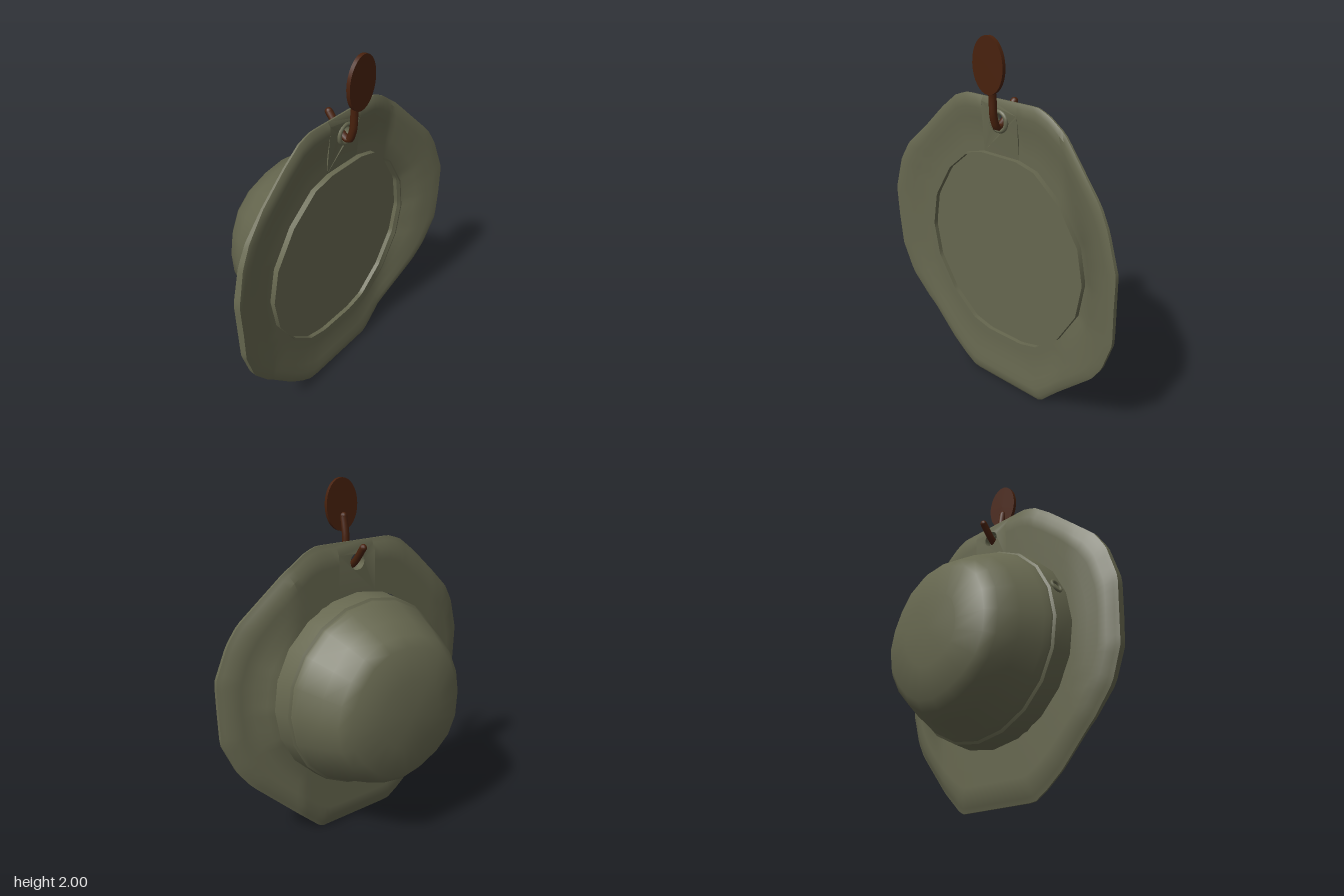
import * as THREE from 'three';
import { toCreasedNormals } from 'three/addons/utils/BufferGeometryUtils.js';

const CY = 0.85; // height of the hat's axis
const { clamp, smoothstep } = THREE.MathUtils;

// Depth of the brim's front or back face; u runs from opening (0) to edge (1)
function brimX(front, u, y, z) {
  const start = smoothstep(u, 0, 0.35);
  const up = Math.max(0, -z - 0.4) * start, down = Math.max(0, z - 0.58) * start;
  return front
    ? 0.194 + up * 0.26 + down * 0.18 + 0.018 * smoothstep(u, 0.3, 0.85) - 0.02 * smoothstep(u, 0.9, 1) * Math.abs(y - CY)
    : 0.157 + up * 0.26 + down * 0.1 + 0.03 * smoothstep(u, 0.78, 1);
}

export function createModel() {
  const olive = new THREE.MeshStandardMaterial({ color: 0x66674f });
  olive.name = 'olive felt';
  const brown = new THREE.MeshStandardMaterial({ color: 0x48210d });
  brown.name = 'brown metal';

  const hat = new THREE.Group();
  hat.name = 'hangingHat';
  const add = (name, geometry, material, parent = hat) => {
    const mesh = new THREE.Mesh(geometry, material);
    mesh.name = name;
    parent.add(mesh);
    return mesh;
  };
  const toVectors = (list) => list.map(([a, b]) => new THREE.Vector2(a, b));

  // Outlines lie in a plane whose first axis is -z and second is y, clockwise from the top
  const outline = toVectors([
    [0.12, 1.68], [0.24, 1.68], [0.31, 1.655], [0.43, 1.57], [0.68, 1.32], [0.74, 1.22],
    [0.81, 1.03], [0.81, 0.67], [0.74, 0.49], [0.67, 0.39], [0.32, 0.05], [0.27, 0],
    [-0.24, 0], [-0.32, 0.05], [-0.42, 0.13], [-0.62, 0.34], [-0.73, 0.49], [-0.79, 0.67],
    [-0.81, 1.03], [-0.76, 1.22], [-0.7, 1.32], [-0.43, 1.57], [-0.32, 1.655], [-0.24, 1.68], [-0.12, 1.68],
  ]);
  const quarter = [[0.12, 0.54], [0.24, 0.51], [0.4, 0.38], [0.52, 0.19]];
  const opening = toVectors([
    ...quarter.map(([a, b]) => [a, CY + b]), [0.555, CY],
    ...[...quarter].reverse().map(([a, b]) => [a, CY - b]),
    ...quarter.map(([a, b]) => [-a, CY - b]), [-0.555, CY],
    ...[...quarter].reverse().map(([a, b]) => [-a, CY + b]),
  ]);

  // Brim: closed cross-sections swept from one side of the hanging tab round to the other
  const N = 120;
  const inner = new THREE.Path(opening).getSpacedPoints(N);
  const outer = new THREE.Path(outline).getSpacedPoints(N);
  const steps = [0, 0.15, 0.35, 0.6, 0.78, 0.92, 1];
  const section = [...steps.map((u) => [true, u]), ...[...steps].reverse().map((u) => [false, u])];
  const K = section.length;
  const positions = [], indices = [];
  for (let i = 0; i <= N; i++) {
    section.forEach(([front, u], k) => {
      const q = inner[i].clone().lerp(outer[i], u);
      positions.push(brimX(front, u, q.y, -q.x), q.y, -q.x);
      if (i === N) return;
      const a = i * K + k, b = i * K + (k + 1) % K;
      indices.push(a, a + K, b, a + K, b + K, b);
    });
  }
  const brim = new THREE.BufferGeometry();
  brim.setAttribute('position', new THREE.Float32BufferAttribute(positions, 3));
  brim.setIndex(indices);
  add('brim', toCreasedNormals(brim, 0.6), olive);

  // Hanging tab: the pierced top stretch of the brim
  const tabShape = new THREE.Shape(toVectors([
    [-0.12, 1.39], [0.12, 1.39], [0.12, 1.616], [0.12, 1.657], [0.12, 1.68],
    [-0.12, 1.68], [-0.12, 1.657], [-0.12, 1.616],
  ]));
  tabShape.holes.push(new THREE.Path().absarc(0, 1.572, 0.046, 0, Math.PI * 2));
  const tab = new THREE.ExtrudeGeometry(tabShape, { depth: 1, bevelEnabled: false, curveSegments: 16 });
  tab.rotateY(Math.PI / 2);
  const p = tab.attributes.position;
  for (let i = 0; i < p.count; i++) {
    const y = p.getY(i);
    p.setX(i, brimX(p.getX(i) > 0.5, (y - 1.39) / 0.29, y, p.getZ(i)));
  }
  add('hangingTab', toCreasedNormals(tab, 0.6), olive);

  // Crown: turned about the x axis, with a stepped band and a slightly dented end
  const profile = toVectors([
    [0.555, -0.18], [0.555, -0.14], [0.545, -0.045], [0.532, -0.035], [0.53, -0.02],
    [0.515, 0.01], [0.468, 0.13], [0.42, 0.225], [0.37, 0.27], [0.2, 0.305], [0, 0.318],
  ]);
  const crown = new THREE.LatheGeometry(profile, 20);
  crown.rotateZ(Math.PI / 2);
  const c = crown.attributes.position;
  for (let i = 0; i < c.count; i++) {
    const x = c.getX(i), y = c.getY(i), z = c.getZ(i);
    const k = clamp((-x - 0.05) / 0.25, 0, 1);
    const dent = 1 - 0.02 * k * (1 + Math.sin(5 * Math.atan2(y, z) + 1));
    c.setXYZ(i, x + k * (0.02 * y - 0.02 * z), y * dent - 0.015 * k, z * dent);
  }
  add('crown', toCreasedNormals(crown, 0.75), olive).position.y = CY;

  // Sweatband: a thin lip standing out of the opening
  const bandShape = new THREE.Shape(opening);
  bandShape.holes.push(new THREE.Path(opening.map((q) => new THREE.Vector2(q.x * 0.985, CY + (q.y - CY) * 0.985))));
  const band = new THREE.ExtrudeGeometry(bandShape, { depth: 0.066, bevelEnabled: false });
  band.rotateY(Math.PI / 2);
  add('sweatband', toCreasedNormals(band, 0.6), olive).position.x = 0.157;

  // Recessed lining inside the opening
  const lining = new THREE.ShapeGeometry(new THREE.Shape(opening));
  lining.rotateY(Math.PI / 2);
  add('lining', lining, olive).position.x = 0.17;

  // Eyelets: one in the brim for hanging, one vent in the crown band
  const brimEyelet = add('brimEyelet', new THREE.TorusGeometry(0.05, 0.012, 8, 20), olive);
  brimEyelet.rotation.y = Math.PI / 2;
  brimEyelet.position.set(0.21, 1.572, 0);
  const vent = add('ventEyelet', new THREE.TorusGeometry(0.032, 0.009, 8, 20), olive);
  vent.position.set(0.095, 1.04, 0.515);
  vent.rotation.x = -0.35;

  // Hook: bent rod under an oval wall plate
  const hook = new THREE.Group();
  hook.name = 'wallHook';
  hat.add(hook);
  const plate = new THREE.CylinderGeometry(1, 1, 0.02, 32);
  plate.rotateZ(Math.PI / 2);
  plate.scale(1, 0.14, 0.1);
  add('hookPlate', plate, brown, hook).position.set(0.283, 1.86, -0.01);
  const path = new THREE.CatmullRomCurve3([
    [0.272, 1.8], [0.256, 1.71], [0.25, 1.6], [0.225, 1.543], [0.18, 1.565], [0.1, 1.655],
  ].map(([x, y]) => new THREE.Vector3(x, y, -0.004)));
  add('hookRod', new THREE.TubeGeometry(path, 24, 0.02, 10), brown, hook);
  for (const t of [0, 1]) {
    const end = add('hookRodEnd', new THREE.SphereGeometry(0.02, 10, 8), brown, hook);
    end.position.copy(path.getPoint(t));
  }
  return hat;
}
